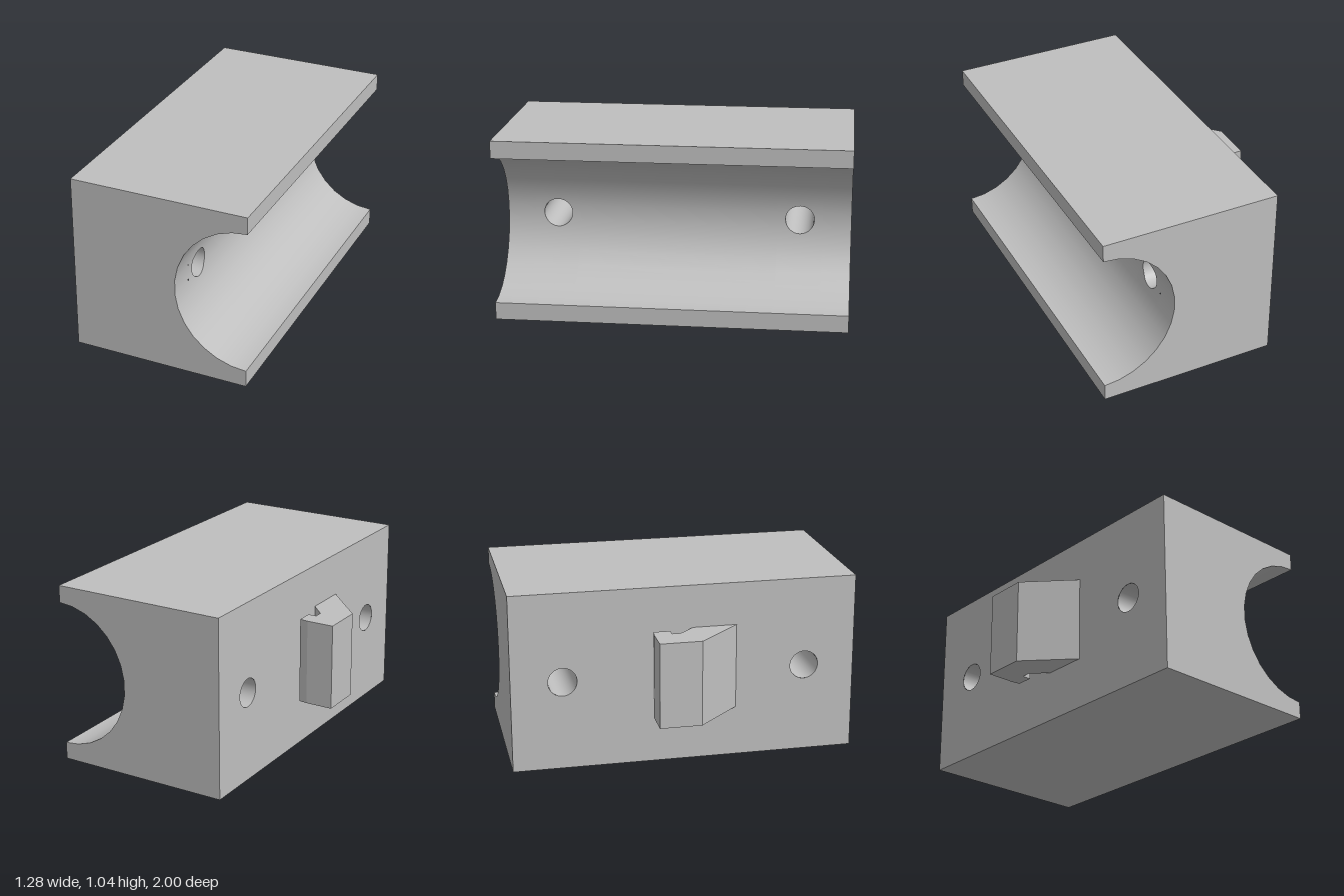
import * as THREE from 'three';

const X0 = -0.395, X1 = 0.64, H = 1.045, CY = H / 2, R = 0.423, SEG = 15;
const HOLE_R = 0.083, HOLE_Z = [-0.705, 0.705];
const PATCH = R * Math.sin(Math.PI / 10); // half size of the square around each hole

// Corner points of the faceted groove, bottom to top, as [x, y]
const arc = Array.from({ length: SEG + 1 }, (_, i) => {
  const a = -Math.PI / 2 + (i * Math.PI) / SEG;
  return [X1 - R * Math.cos(a), CY + R * Math.sin(a)];
});

// x of the groove wall at height y
function grooveX(y) {
  let i = 0;
  while (i < SEG - 1 && y > arc[i + 1][1]) i++;
  const [a, b] = [arc[i], arc[i + 1]];
  return a[0] + ((b[0] - a[0]) * (y - a[1])) / (b[1] - a[1]);
}

function grooveNormal(y) {
  const s = THREE.MathUtils.clamp((y - CY) / R, -1, 1);
  return new THREE.Vector3(Math.sqrt(1 - s * s), -s, 0);
}

// Sheet of nu x nv quads; point(i, j) and normal(i, j) return Vector3
function sheet(nu, nv, point, normal) {
  const pos = [], nor = [], index = [];
  for (let j = 0; j <= nv; j++)
    for (let i = 0; i <= nu; i++) {
      pos.push(...point(i, j).toArray());
      nor.push(...normal(i, j).toArray());
    }
  const facing = new THREE.Vector3()
    .crossVectors(point(1, 0).sub(point(0, 0)), point(0, 1).sub(point(0, 0)))
    .dot(normal(0, 0)) > 0;
  for (let j = 0; j < nv; j++)
    for (let i = 0; i < nu; i++) {
      const a = j * (nu + 1) + i, b = a + 1, c = a + nu + 1, d = c + 1;
      index.push(...(facing ? [a, b, d, a, d, c] : [a, d, b, a, c, d]));
    }
  const g = new THREE.BufferGeometry();
  g.setAttribute('position', new THREE.Float32BufferAttribute(pos, 3));
  g.setAttribute('normal', new THREE.Float32BufferAttribute(nor, 3));
  g.setIndex(index);
  return g;
}

export function createModel() {
  const model = new THREE.Group();
  const grey = new THREE.MeshStandardMaterial({ color: 0xbfbfbf });
  grey.name = 'plain grey';
  const V = (x, y, z) => new THREE.Vector3(x, y, z);
  const add = (name, geometry, parent = model) => {
    const m = new THREE.Mesh(geometry, grey);
    m.name = name;
    parent.add(m);
    return m;
  };

  const block = new THREE.Group();
  block.name = 'block';
  model.add(block);

  // End faces with the round bite
  const end = new THREE.Shape();
  end.moveTo(X1, H).lineTo(X0, H).lineTo(X0, 0).lineTo(X1, 0);
  arc.forEach(([x, y]) => end.lineTo(x, y));
  for (const s of [1, -1]) {
    const cap = add(s > 0 ? 'frontEnd' : 'backEnd', new THREE.ShapeGeometry(end), block);
    cap.position.z = s;
    cap.scale.z = s;
  }

  // Flat top and bottom, and the two narrow lips beside the groove
  const flat = (name, a, b, n) => add(name, sheet(1, 1,
    (i, j) => V(...(j ? b : a), i ? 1 : -1), () => V(...n)), block);
  flat('top', [X0, H], [X1, H], [0, 1, 0]);
  flat('bottom', [X0, 0], [X1, 0], [0, -1, 0]);
  flat('upperLip', [X1, CY + R], [X1, H], [1, 0, 0]);
  flat('lowerLip', [X1, 0], [X1, CY - R], [1, 0, 0]);

  // Flat side wall with two screw holes
  const wall = new THREE.Shape();
  wall.moveTo(-1, 0).lineTo(1, 0).lineTo(1, H).lineTo(-1, H);
  for (const z of HOLE_Z)
    wall.holes.push(new THREE.Path().absarc(z, CY, HOLE_R, 0, Math.PI * 2, true));
  add('sideWall', new THREE.ShapeGeometry(wall, 32).rotateY(-Math.PI / 2), block).position.x = X0;

  // Plain strips of the groove, rows r0 to r1 between z0 and z1
  const strip = (z0, z1, r0, r1) => add('groove', sheet(1, r1 - r0,
    (i, j) => V(...arc[r0 + j], i ? z1 : z0),
    (i, j) => grooveNormal(arc[r0 + j][1])), block);
  const edges = [-1, ...HOLE_Z.flatMap(z => [z - PATCH, z + PATCH]), 1];
  for (let k = 0; k < 5; k++) {
    if (k % 2 === 0) strip(edges[k], edges[k + 1], 0, SEG);
    else {
      strip(edges[k], edges[k + 1], 0, 6);
      strip(edges[k], edges[k + 1], 9, SEG);
    }
  }

  // Groove patch around each hole, and the hole's bore
  const N = 32, RINGS = 6;
  for (const z of HOLE_Z) {
    const spot = (i, j) => {
      const a = (i / N) * Math.PI * 2, c = Math.cos(a), s = Math.sin(a);
      const outer = PATCH / Math.max(Math.abs(c), Math.abs(s));
      const r = HOLE_R + ((outer - HOLE_R) * j) / RINGS;
      const y = CY + r * s;
      return V(grooveX(y), y, z + r * c);
    };
    add('grooveAroundHole', sheet(N, RINGS, spot, (i, j) => grooveNormal(spot(i, j).y)), block);
    add('screwHole', sheet(N, 1,
      (i, j) => { const p = spot(i, 0); if (!j) p.x = X0; return p; },
      (i) => { const a = (i / N) * Math.PI * 2; return V(0, -Math.sin(a), -Math.cos(a)); }), block);
  }

  // Hooked clip on the flat side, outline given as [x, z]
  const hook = new THREE.Shape([
    [X0, 0.3], [X0, 0.045], [-0.48, -0.045], [-0.48, -0.095], [-0.43, -0.095],
    [-0.43, -0.19], [-0.48, -0.197], [-0.64, -0.197], [-0.64, 0.045],
  ].map(([x, z]) => new THREE.Vector2(x, -z)));
  add('hookClip', new THREE.ExtrudeGeometry(hook, { depth: 0.5, bevelEnabled: false })
    .rotateX(-Math.PI / 2)).position.y = 0.295;

  return model;
}
